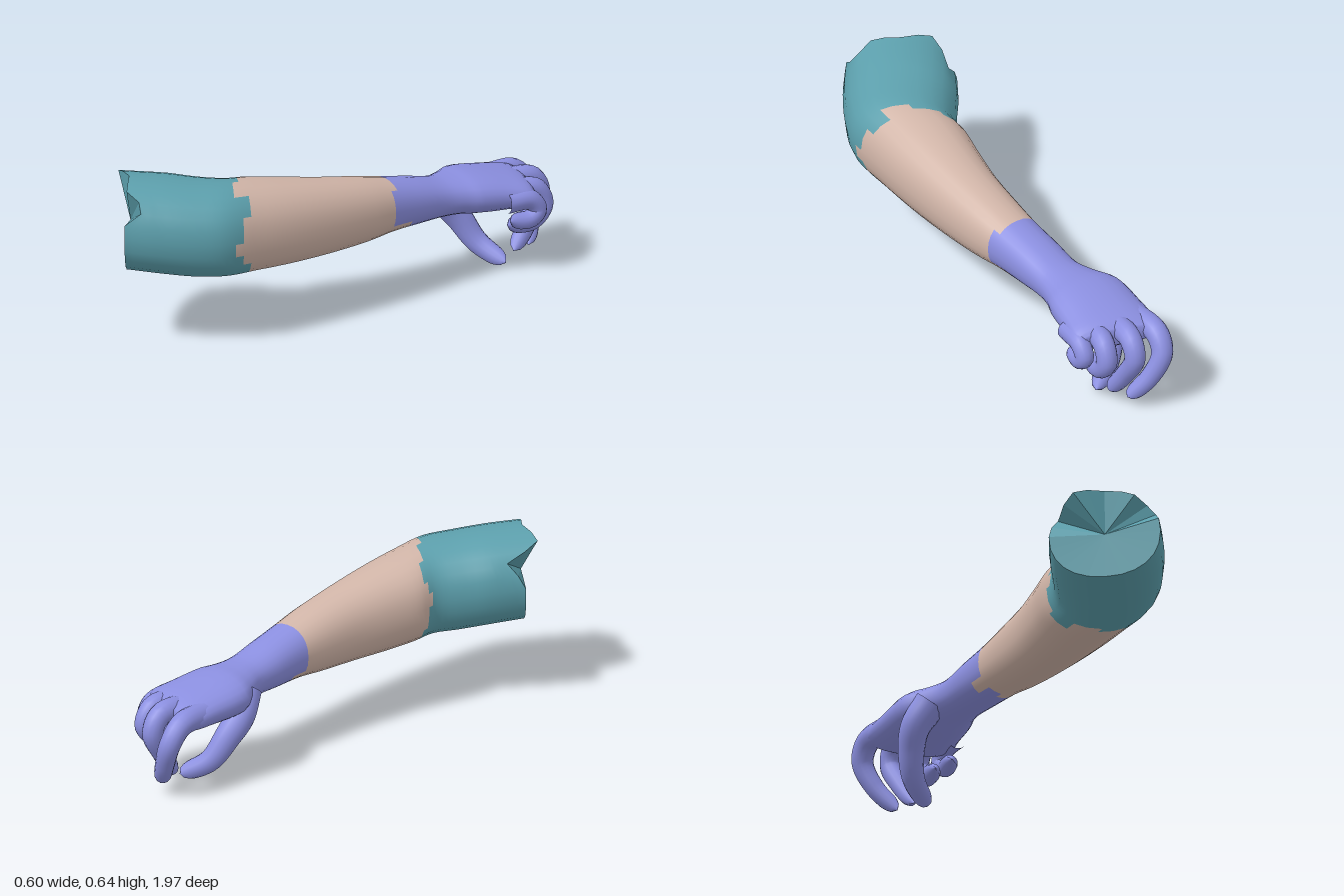
import * as THREE from 'three';

const V = (x, y, z) => new THREE.Vector3(x, y, z);
const mat = (color, extra = {}) => new THREE.MeshStandardMaterial({ color, ...extra });
const teal = 0x5c9fac, tan = 0xd1b5a8, blue = 0x8b8fe0;

// Arm cross-sections from sleeve end to knuckles:
// inner x, inner z, outer x, outer z, lowest y, highest y
const sections = [
  [-0.30, 0.68, 0.01, 0.97, 0.295, 0.650],
  [-0.22, 0.57, 0.09, 0.88, 0.280, 0.640],
  [-0.15, 0.49, 0.175, 0.76, 0.265, 0.625],
  [-0.095, 0.41, 0.23, 0.65, 0.260, 0.615],
  [-0.09, 0.33, 0.242, 0.50, 0.255, 0.600],
  [-0.065, 0.23, 0.247, 0.32, 0.250, 0.575],
  [-0.03, 0.08, 0.242, 0.12, 0.250, 0.540],
  [-0.01, -0.08, 0.23, -0.07, 0.255, 0.505],
  [0.00, -0.20, 0.215, -0.20, 0.265, 0.475],
  [0.00, -0.33, 0.205, -0.33, 0.265, 0.445],
  [0.00, -0.45, 0.20, -0.45, 0.265, 0.415],
  [-0.03, -0.53, 0.215, -0.52, 0.260, 0.410],
  [-0.068, -0.61, 0.24, -0.58, 0.250, 0.410],
  [-0.06, -0.75, 0.265, -0.69, 0.245, 0.390],
  [-0.045, -0.87, 0.285, -0.77, 0.250, 0.365],
  [-0.02, -0.91, 0.265, -0.80, 0.275, 0.340],
];
const SUB = 4, COLS = 24;

// Rounded ring between an inner-low and an outer-high corner
function ring(lo, hi) {
  const c = lo.clone().add(hi).multiplyScalar(0.5);
  const h = hi.clone().sub(c);
  const soft = (v) => Math.sign(v) * Math.abs(v) ** 0.9;
  return Array.from({ length: COLS }, (_, j) => {
    const a = (j / COLS) * Math.PI * 2;
    const u = soft(Math.cos(a)), v = soft(Math.sin(a));
    return V(c.x + h.x * u, c.y + h.y * v, c.z + h.z * u);
  });
}

function buildArm(group) {
  const lows = new THREE.CatmullRomCurve3(sections.map((s) => V(s[0], s[4], s[1])));
  const highs = new THREE.CatmullRomCurve3(sections.map((s) => V(s[2], s[5], s[3])));
  const steps = (sections.length - 1) * SUB;
  const rings = [];
  for (let i = 0; i <= steps; i++) rings.push(ring(lows.getPoint(i / steps), highs.getPoint(i / steps)));

  // Torn rim: two notches and a raised upper corner
  const shifts = { 2: -0.06, 3: -0.05, 7: 0.03, 8: 0.05, 10: -0.07, 11: -0.03 };
  for (const [j, d] of Object.entries(shifts)) {
    for (let k = 0; k < SUB; k++) {
      rings[k][j].addScaledVector(V(-0.68, 0, 0.73), d * (1 - k / SUB));
    }
  }

  // Faces sorted into three colour zones with stepped borders
  const zones = { upperSleeve: [], forearm: [], wristAndPalm: [] };
  const jag = [0, 0, 1, 1, -1, -1, 0, 0, 1, 1, 0, -1];
  for (let i = 0; i < steps; i++) {
    for (let j = 0; j < COLS; j++) {
      const low = Math.sin(((j + 0.5) / COLS) * Math.PI * 2) < -0.5;
      const sleeveEnd = 3.5 * SUB + jag[j % 12];
      const gloveStart = low ? 8.25 * SUB + jag[j % 12] : 8 * SUB - (j < 3 || j > 21 ? 1 : 0);
      const zone = i < sleeveEnd ? 'upperSleeve' : i < gloveStart ? 'forearm' : 'wristAndPalm';
      const k = (j + 1) % COLS;
      const a = i * COLS + j, b = i * COLS + k, c = a + COLS, d = b + COLS;
      zones[zone].push(a, c, b, b, c, d);
    }
  }
  // Closing fan over the knuckle end
  const pts = rings.flat();
  const end = steps * COLS;
  pts.push(lows.getPoint(1).add(highs.getPoint(1)).multiplyScalar(0.5));
  for (let j = 0; j < COLS; j++) zones.wristAndPalm.push(end + ((j + 1) % COLS), end + j, pts.length - 1);

  const whole = new THREE.BufferGeometry().setFromPoints(pts);
  whole.setIndex(Object.values(zones).flat());
  whole.computeVertexNormals();
  const colors = { upperSleeve: teal, forearm: tan, wristAndPalm: blue };
  for (const name of Object.keys(zones)) {
    const g = new THREE.BufferGeometry();
    g.setAttribute('position', whole.attributes.position);
    g.setAttribute('normal', whole.attributes.normal);
    g.setIndex(zones[name]);
    const mesh = new THREE.Mesh(g, mat(colors[name]));
    mesh.name = name;
    group.add(mesh);
  }

  // Faceted cap across the sleeve opening
  const rim = rings[0];
  const mid = rim.reduce((s, p) => s.add(p), V(0, 0, 0)).divideScalar(COLS);
  const fan = rim.flatMap((p, j) => [mid, p, rim[(j + 1) % COLS]]);
  const capGeo = new THREE.BufferGeometry().setFromPoints(fan);
  capGeo.computeVertexNormals();
  const cap = new THREE.Mesh(capGeo, mat(teal, { side: THREE.DoubleSide }));
  cap.name = 'sleeveEndCap';
  group.add(cap);
}

// Tapered tube with a rounded tip
function digit(name, points, r0, r1) {
  const curve = new THREE.CatmullRomCurve3(points.map((p) => V(...p)));
  const n = 28, sides = 14;
  const g = new THREE.TubeGeometry(curve, n, 1, sides);
  const pos = g.attributes.position, v = V(0, 0, 0);
  for (let i = 0; i <= n; i++) {
    const t = i / n, c = curve.getPointAt(t);
    const tip = t > 0.86 ? Math.sqrt(Math.max(0, 1 - ((t - 0.86) / 0.14) ** 2)) : 1;
    const r = (r0 + (r1 - r0) * t) * tip;
    for (let j = 0; j <= sides; j++) {
      const k = i * (sides + 1) + j;
      v.fromBufferAttribute(pos, k).sub(c).multiplyScalar(r).add(c);
      pos.setXYZ(k, v.x, v.y, v.z);
    }
  }
  const mesh = new THREE.Mesh(g, mat(blue));
  mesh.name = name;
  return mesh;
}

export function createModel() {
  const model = new THREE.Group();
  model.name = 'arm';
  buildArm(model);

  // Curled fingers and the thumb reaching under the palm
  const hand = new THREE.Group();
  hand.name = 'fingers';
  hand.add(
    digit('indexFinger', [[0.0, 0.315, -0.78], [-0.005, 0.305, -0.91], [0.005, 0.24, -0.958], [0.05, 0.14, -0.94], [0.115, 0.045, -0.885]], 0.05, 0.032),
    digit('middleFinger', [[0.09, 0.32, -0.76], [0.11, 0.315, -0.90], [0.117, 0.25, -0.935], [0.122, 0.15, -0.88], [0.13, 0.045, -0.80]], 0.048, 0.032),
    digit('ringFinger', [[0.175, 0.315, -0.74], [0.2, 0.305, -0.85], [0.208, 0.24, -0.88], [0.205, 0.185, -0.83], [0.18, 0.18, -0.73]], 0.046, 0.034),
    digit('littleFinger', [[0.24, 0.30, -0.68], [0.258, 0.295, -0.78], [0.262, 0.25, -0.812], [0.26, 0.22, -0.78], [0.235, 0.22, -0.70]], 0.042, 0.032),
    digit('thumb', [[0.02, 0.33, -0.53], [-0.01, 0.25, -0.59], [0.005, 0.18, -0.64], [0.05, 0.085, -0.69], [0.155, 0.018, -0.745]], 0.065, 0.033),
  );
  model.add(hand);
  return model;
}
